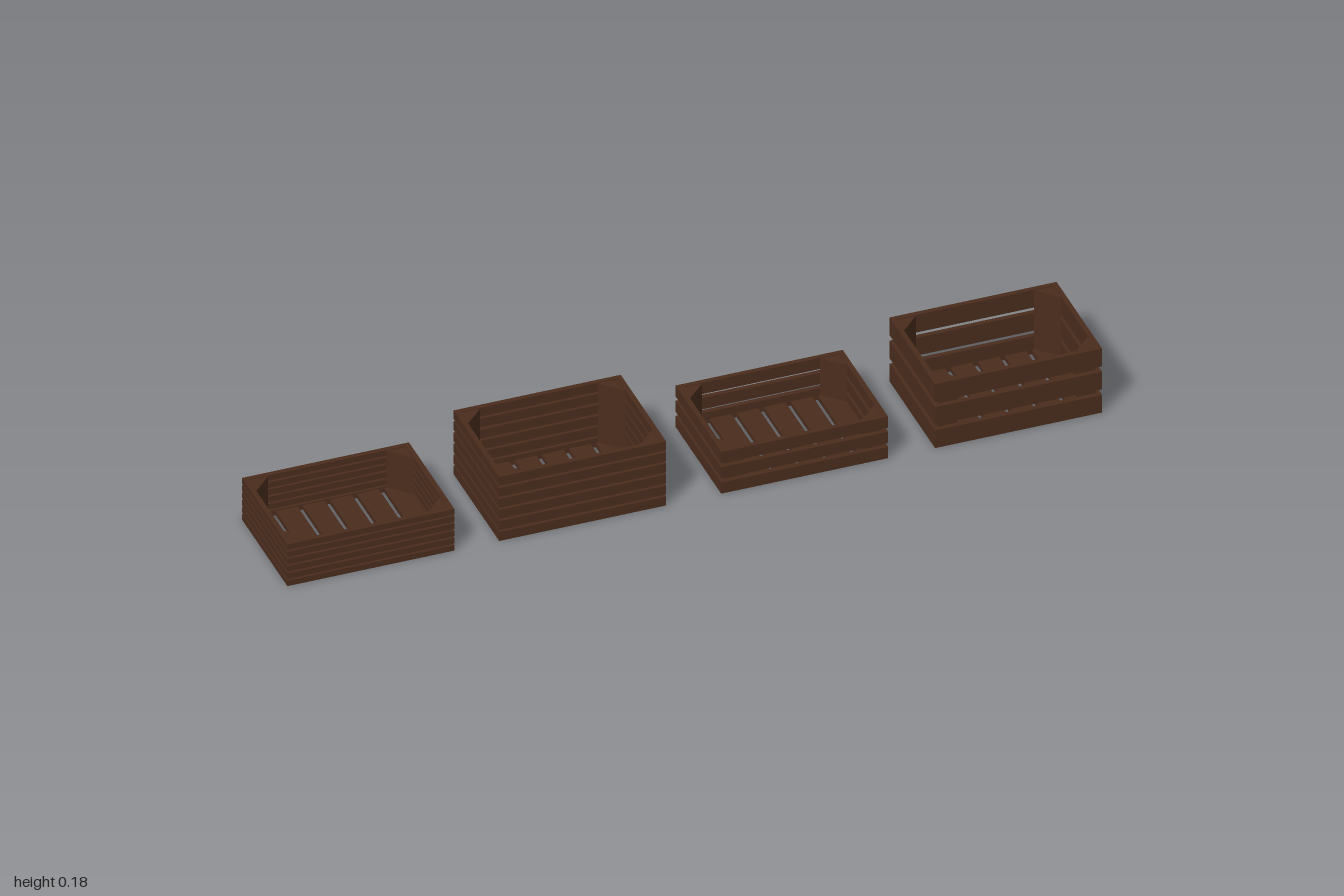
import * as THREE from 'three';

const WIDTH = 0.41, DEPTH = 0.293, WALL = 0.012, POST = 0.048;
const wood = new THREE.MeshStandardMaterial({ color: 0x4a2d1d, flatShading: true });

function board(parent, name, w, h, d, x, y, z) {
  const mesh = new THREE.Mesh(new THREE.BoxGeometry(w, h, d), wood);
  mesh.name = name;
  mesh.position.set(x, y, z);
  parent.add(mesh);
}

// Triangular post filling one inside corner; sx and sz pick the corner
function cornerPost(parent, sx, sz, height) {
  const x = sx * (WIDTH / 2 - WALL), z = sz * (DEPTH / 2 - WALL);
  const shape = new THREE.Shape([
    new THREE.Vector2(x, -z),
    new THREE.Vector2(x - sx * POST, -z),
    new THREE.Vector2(x, -z + sz * POST),
  ]);
  const geometry = new THREE.ExtrudeGeometry(shape, { depth: height, bevelEnabled: false });
  geometry.rotateX(-Math.PI / 2);
  const post = new THREE.Mesh(geometry, wood);
  post.name = 'cornerPost';
  parent.add(post);
}

function createCrate(name, height, rows, gap) {
  const crate = new THREE.Group();
  crate.name = name;

  // Horizontal wall slats
  const slat = (height - gap * (rows - 1)) / rows;
  for (let i = 0; i < rows; i++) {
    const y = slat / 2 + i * (slat + gap);
    for (const s of [-1, 1]) {
      board(crate, s > 0 ? 'frontSlat' : 'backSlat', WIDTH, slat, WALL, 0, y, s * (DEPTH - WALL) / 2);
      board(crate, s > 0 ? 'leftSlat' : 'rightSlat', WALL, slat, DEPTH - 2 * WALL, s * (WIDTH - WALL) / 2, y, 0);
    }
  }

  // Floor boards running front to back
  const count = 6, floorGap = 0.013, inner = WIDTH - 2 * WALL;
  const w = (inner - floorGap * (count - 1)) / count;
  for (let i = 0; i < count; i++) {
    board(crate, 'floorBoard', w, WALL, DEPTH - 2 * WALL,
      -inner / 2 + w / 2 + i * (w + floorGap), WALL / 2, 0);
  }

  for (const sx of [-1, 1]) for (const sz of [-1, 1]) cornerPost(crate, sx, sz, height - 0.002);
  return crate;
}

export function createModel() {
  const model = new THREE.Group();
  model.name = 'crates';
  // name, x, height, slat rows, gap between slats
  const crates = [
    ['lowNarrowSlatCrate', -0.795, 0.115, 6, 0.005],
    ['tallNarrowSlatCrate', -0.275, 0.177, 6, 0.006],
    ['lowWideSlatCrate', 0.27, 0.115, 3, 0.011],
    ['tallWideSlatCrate', 0.795, 0.177, 3, 0.015],
  ];
  for (const [name, x, height, rows, gap] of crates) {
    const crate = createCrate(name, height, rows, gap);
    crate.position.x = x;
    model.add(crate);
  }
  return model;
}
